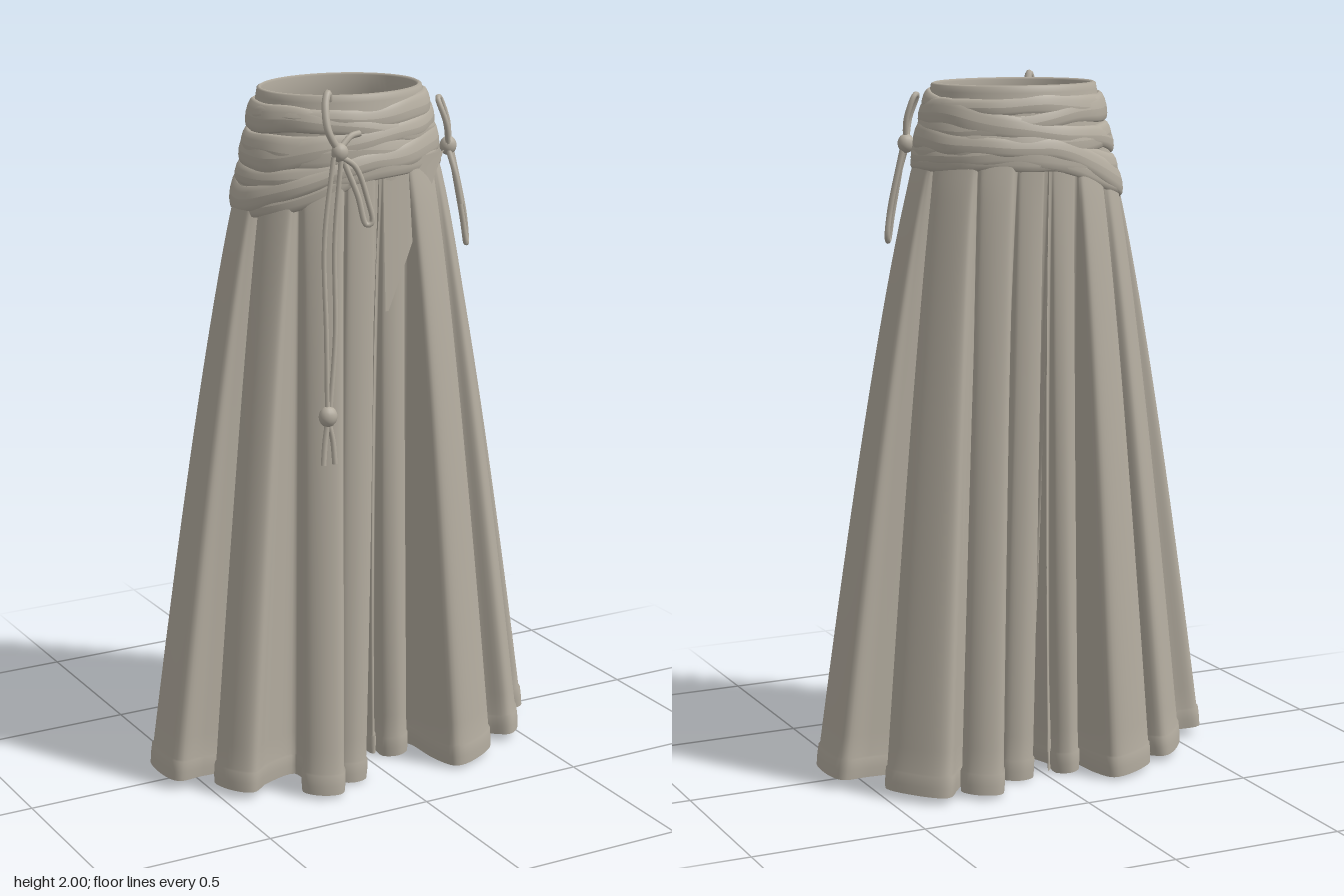
import * as THREE from 'three';

const RAD = Math.PI / 180;
const lerp = THREE.MathUtils.lerp;
const CENTRE_Z = -0.013; // the waist sits slightly behind the middle

const cloth = new THREE.MeshStandardMaterial({ color: 0xb3ac9f, side: THREE.DoubleSide });
cloth.name = 'cloth';

// Surface from a grid of points: rows x cols, optionally closed around
function gridGeometry(rows, cols, point, closed) {
  const pos = [], idx = [];
  for (let j = 0; j < rows; j++) for (let i = 0; i < cols; i++) pos.push(...point(i, j));
  const last = closed ? cols : cols - 1;
  for (let j = 0; j < rows - 1; j++) {
    for (let i = 0; i < last; i++) {
      const a = j * cols + i, b = j * cols + ((i + 1) % cols);
      idx.push(a, a + cols, b, b, a + cols, b + cols);
    }
  }
  const g = new THREE.BufferGeometry();
  g.setAttribute('position', new THREE.Float32BufferAttribute(pos, 3));
  g.setIndex(idx);
  g.computeVertexNormals();
  return g;
}

function add(parent, name, geometry) {
  const m = new THREE.Mesh(geometry, cloth);
  m.name = name;
  parent.add(m);
  return m;
}

// Hem pleats from front to back:
// tip x, tip z, direction, half width, fold behind x, fold behind z
// Inseam: hem points from back to front
const leftLeg = {
  side: 1, innerX: 0.04, frontZ: 0.13,
  pleats: [
    [0.09, 0.185, 90, 0.04, 0.155, 0.13],
    [0.285, 0.325, 64, 0.088, 0.25, 0.165],
    [0.495, 0.2, 32, 0.065, 0.34, 0.075],
    [0.6, -0.005, 0, 0.092, 0.34, -0.09],
    [0.44, -0.285, -43, 0.095, 0.235, -0.195],
    [0.26, -0.345, -60, 0.055, 0.14, -0.2],
    [0.09, -0.255, -90, 0.045],
  ],
  inseam: [[0.11, -0.15], [0.1, -0.05], [0.07, 0.02], [0.12, 0.03], [0.165, 0.08], [0.15, 0.1], [0.12, 0.06], [0.07, 0.05], [0.04, 0.08]],
};
const rightLeg = {
  side: -1, innerX: 0.02, frontZ: 0.13,
  pleats: [
    [0.12, 0.295, 85, 0.045, 0.17, 0.16],
    [0.25, 0.345, 62, 0.055, 0.25, 0.17],
    [0.475, 0.2, 30, 0.065, 0.33, 0.08],
    [0.605, 0, 0, 0.088, 0.33, -0.085],
    [0.44, -0.215, -40, 0.088, 0.26, -0.18],
    [0.245, -0.335, -64, 0.085, 0.12, -0.2],
    [0.07, -0.25, -90, 0.035],
  ],
  inseam: [[0.05, -0.15], [0.03, -0.05], [0.07, 0.03], [0.16, 0.075], [0.08, 0.06], [0.02, 0.03], [0.02, 0.09]],
};
// Where each pleat starts and ends around the waist, in degrees
const waistSpans = [[88, 71], [69, 43], [41, 15], [13, -14], [-16, -47], [-49, -70], [-72, -88]];

// One wide leg lofted from the waist and crotch seam down to the pleated hem
function legGeometry({ side, innerX, frontZ, pleats, inseam }) {
  const ctrl = [];
  const put = (x, z, deg) => ctrl.push(new THREE.Vector3(x, z, deg / 300));
  put(innerX, frontZ, 90);
  pleats.forEach(([tx, tz, dir, hw, nx, nz], k) => {
    const dx = Math.cos(dir * RAD), dz = Math.sin(dir * RAD);
    const [from, to] = waistSpans[k];
    for (const [back, across, s] of [[0.1, 0.93, 0], [0.022, 1, 0.12], [0, 0, 0.5], [0.022, -1, 0.88], [0.1, -0.93, 1]]) {
      const b = Math.min(back, hw * 2);
      put(tx - dx * b - dz * hw * across, tz - dz * b + dx * hw * across, lerp(from, to, s));
    }
    if (k < pleats.length - 1) put(nx, nz, to - 1);
  });
  put(innerX, -0.2, -90);
  const outerEnd = ctrl.length - 1;
  for (const [x, z] of inseam) put(x, z, 0);

  const per = 6, cols = ctrl.length * per;
  const curve = new THREE.CatmullRomCurve3(ctrl, true, 'centripetal');
  const hem = [];
  for (let i = 0; i < cols; i++) hem.push(curve.getPoint(i / cols));
  // Heights, with a small step for the hem band
  const levels = [];
  for (let j = 0; j <= 26; j++) levels.push([0.965 * j / 26, 0]);
  levels.push([0.967, 0.004], [0.985, 0.004], [1, 0.002]);

  return gridGeometry(levels.length, cols, (i, j) => {
    const [t, lift] = levels[j];
    const h = hem[i], u = i / per;
    const e = t ** 0.78;
    let top, ex;
    if (u <= outerEnd) {
      const a = THREE.MathUtils.clamp(h.z * 300, -90, 90) * RAD;
      top = [0.28 * Math.cos(a), 1.8, 0.226 * Math.sin(a) + CENTRE_Z];
      ex = lerp(t * t, e, Math.min(1, h.x / 0.15));
    } else {
      const v = (u - outerEnd) / (ctrl.length - outerEnd);
      top = [0, 1.8 - 0.45 * Math.sin(Math.PI * v) ** 0.6, -0.226 * Math.cos(Math.PI * v) + CENTRE_Z];
      ex = t * t;
    }
    const p = hem[(i + cols - 1) % cols], n = hem[(i + 1) % cols];
    const tx = n.x - p.x, tz = n.y - p.y, len = Math.hypot(tx, tz) || 1;
    const hemY = 0.006 + 0.05 * Math.abs(h.x);
    return [
      side * (lerp(top[0], h.x, ex) - lift * tz / len),
      lerp(top[1], hemY, t),
      lerp(top[2], h.y, e) + lift * tx / len,
    ];
  }, true);
}

// Radius of the body under the sash at a height
const bodyRadius = (y) => 0.25 + (1.95 - y) * 0.2;

// Wrapped sash band: height, tilt to the side, droop on the right hip, half height, lift, phase
function bandGeometry([y0, tilt, droop, h, lift, phase]) {
  return gridGeometry(13, 112, (i, j) => {
    const a = i / 112 * Math.PI * 2, b = j / 12 * Math.PI * 2;
    const wave = Math.sin(3 * a + phase) * 0.006 + Math.sin(7 * a + phase * 2) * 0.002;
    const hh = h * (1 + 0.2 * Math.sin(2 * a + phase));
    const hip = Math.max(0, -Math.cos(a)) ** 1.4;
    const y = y0 + tilt * Math.cos(a) - droop * hip + wave + hh * Math.sin(b);
    const r = bodyRadius(y) + lift + 0.014 * Math.cos(b) + 0.001 * Math.sin(11 * a + phase);
    return [r * Math.cos(a), y, r * 0.775 * Math.sin(a) + CENTRE_Z];
  }, true);
}

function cord(parent, name, pts, radius = 0.008) {
  const curve = new THREE.CatmullRomCurve3(pts.map((p) => new THREE.Vector3(...p)));
  add(parent, name, new THREE.TubeGeometry(curve, pts.length * 8, radius, 8));
}

function knot(parent, name, x, y, z, r) {
  const m = add(parent, name, new THREE.SphereGeometry(r, 14, 10));
  m.position.set(x, y, z);
  m.scale.set(1, 1.1, 0.85);
}

export function createModel() {
  const model = new THREE.Group();
  model.name = 'pleatedTrousers';

  add(model, 'leftLeg', legGeometry(leftLeg));
  add(model, 'rightLeg', legGeometry(rightLeg));

  // Waistband with a turned-in lining
  const profile = [[0.272, 1.77], [0.262, 1.87], [0.248, 1.94], [0.243, 1.965], [0.24, 1.982], [0.232, 1.986],
    [0.225, 1.98], [0.226, 1.93], [0.238, 1.86], [0.258, 1.78]].map(([r, y]) => new THREE.Vector2(r, y));
  const waistband = add(model, 'waistband', new THREE.LatheGeometry(profile, 80));
  waistband.scale.z = 0.82;
  waistband.position.z = CENTRE_Z;

  // Sash wrapped around the hips
  const sash = new THREE.Group();
  sash.name = 'sash';
  model.add(sash);
  [
    [1.925, 0.005, 0, 0.03, 0.002, 0],
    [1.89, -0.03, 0, 0.035, 0.003, 1.3],
    [1.86, 0.045, 0, 0.035, 0.005, 2.4],
    [1.83, -0.025, 0.02, 0.04, 0.004, 3.6],
    [1.795, 0, 0.05, 0.035, 0.004, 5.1],
    [1.81, 0.025, 0.09, 0.035, 0.008, 0.8],
    [1.79, -0.015, 0.14, 0.03, 0.001, 4.2],
  ].forEach((b, k) => add(sash, 'sashBand' + (k + 1), bandGeometry(b)));

  // Diagonal overlap hanging below the sash at the front
  add(model, 'frontOverlap', gridGeometry(13, 13, (i, j) => {
    const y = lerp(1.8, 1.38, j / 12);
    const x = lerp(0.015, lerp(0.25, 0.025, (j / 12) ** 0.85), i / 12);
    return [x, y, lerp(0.208, 0.226, j / 12) * Math.sqrt(1 - (x / 0.34) ** 2)];
  }, false));

  // Long tied cord on the right of the front
  const long = new THREE.Group();
  long.name = 'longCord';
  model.add(long);
  knot(long, 'longCordKnot', -0.13, 1.84, 0.225, 0.024);
  cord(long, 'upperLoop', [[-0.13, 1.84, 0.225], [-0.16, 1.9, 0.215], [-0.155, 1.97, 0.19], [-0.14, 1.995, 0.175], [-0.13, 1.975, 0.165]], 0.011);
  cord(long, 'crossCord', [[-0.13, 1.85, 0.225], [-0.09, 1.88, 0.215], [-0.06, 1.885, 0.21]], 0.009);
  for (const s of [-1, 1]) {
    cord(long, 'hangingStrand', [[-0.14 + s * 0.012, 1.83, 0.23], [-0.17 + s * 0.016, 1.6, 0.24],
      [-0.18 + s * 0.014, 1.35, 0.265], [-0.198 + s * 0.004, 1.13, 0.285]], 0.007);
    cord(long, 'tassel', [[-0.2, 1.11, 0.285], [-0.2 + s * 0.012, 1.05, 0.29], [-0.203 + s * 0.018, 0.985, 0.297]], 0.008);
  }
  knot(long, 'bead', -0.2, 1.12, 0.285, 0.027);
  cord(long, 'bowLoop', [[-0.13, 1.83, 0.23], [-0.09, 1.8, 0.24], [-0.06, 1.71, 0.255], [-0.05, 1.645, 0.262],
    [-0.065, 1.64, 0.258], [-0.085, 1.72, 0.245], [-0.125, 1.83, 0.225]]);

  // Short tied cord on the left hip
  const short = new THREE.Group();
  short.name = 'shortCord';
  model.add(short);
  knot(short, 'shortCordKnot', 0.27, 1.81, 0.13, 0.025);
  cord(short, 'upperLoop', [[0.27, 1.81, 0.135], [0.273, 1.88, 0.12], [0.25, 1.945, 0.115], [0.235, 1.945, 0.13], [0.25, 1.88, 0.15], [0.265, 1.81, 0.14]]);
  cord(short, 'bowLoop', [[0.275, 1.8, 0.135], [0.285, 1.7, 0.155], [0.3, 1.6, 0.165], [0.312, 1.53, 0.165],
    [0.322, 1.54, 0.15], [0.315, 1.62, 0.145], [0.28, 1.8, 0.13]]);
  cord(short, 'looseEnd', [[0.265, 1.8, 0.14], [0.275, 1.73, 0.165], [0.285, 1.65, 0.18]]);

  return model;
}
